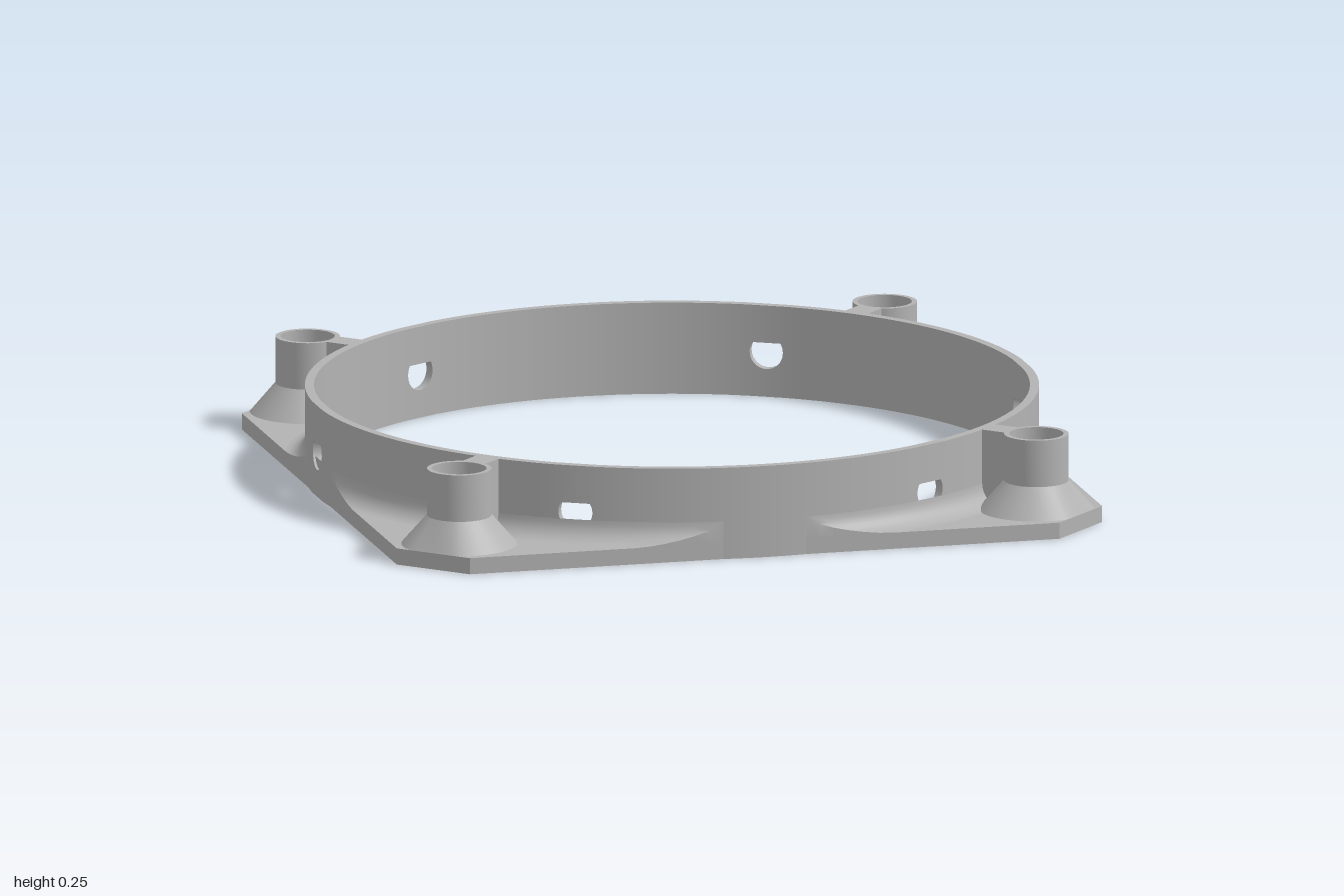
import * as THREE from 'three';
import { toCreasedNormals } from 'three/addons/utils/BufferGeometryUtils.js';

const HALF = 0.993, CUT = 0.83;            // plate half width, start of the corner chamfer
const INNER = 0.975, OUTER = 1, TOP = 0.255, PLATE = 0.045;
const POST = 0.8125;                       // post offset in x and z

// Wraps a flat strip around y: x becomes the angle, z the radius.
function bend(geo) {
  const p = geo.attributes.position, n = geo.attributes.normal;
  for (let i = 0; i < p.count; i++) {
    const a = p.getX(i), r = p.getZ(i), s = Math.sin(a), c = Math.cos(a);
    const nx = n.getX(i), nz = n.getZ(i);
    p.setXYZ(i, s * r, p.getY(i), c * r);
    n.setXYZ(i, c * nx + s * nz, n.getY(i), c * nz - s * nx);
  }
  return geo;
}

// Short wall panel with a teardrop hole
function holePanel(half) {
  const shape = new THREE.Shape();
  shape.moveTo(-half, 0).lineTo(half, 0).lineTo(half, TOP).lineTo(-half, TOP).closePath();
  const r = 0.048, cy = 0.125, drop = new THREE.Path();
  drop.moveTo(0, 0.215);
  drop.absarc(0, cy, r, Math.PI - 0.56, 2 * Math.PI + 0.56, false);
  drop.closePath();
  shape.holes.push(drop);
  const geo = new THREE.ExtrudeGeometry(shape, { depth: OUTER - INNER, bevelEnabled: false, curveSegments: 28 });
  return bend(geo.translate(0, 0, INNER));
}

// Plain curved wall between two hole panels
function wallArc(width) {
  const geo = new THREE.BoxGeometry(width, TOP, OUTER - INNER, 18, 1, 1);
  return bend(geo.translate(0, TOP / 2, (INNER + OUTER) / 2));
}

// Chamfered square plate with a round opening
function plateGeometry() {
  const h = HALF, c = CUT;
  const shape = new THREE.Shape([[c, -h], [h, -c], [h, c], [c, h], [-c, h], [-h, c], [-h, -c], [-c, -h]]
    .map(([x, y]) => new THREE.Vector2(x, y)));
  const hole = new THREE.Path();
  hole.absarc(0, 0, 0.983, 0, Math.PI * 2, true);
  shape.holes.push(hole);
  return new THREE.ExtrudeGeometry(shape, { depth: PLATE, bevelEnabled: false, curveSegments: 120 })
    .rotateX(-Math.PI / 2);
}

// Concave fillet at the foot of the wall, trimmed to the square plate
function filletGeometry() {
  const w = 0.06;
  const height = r => {
    const u = Math.min(1, Math.max(0, (OUTER + w - r) / w));
    return PLATE + w * (1 - Math.sqrt(1 - u * u));
  };
  const pts = [new THREE.Vector2(OUTER + w, PLATE - 0.005)];
  for (let i = 0; i <= 8; i++) {
    const t = (i / 8) * Math.PI / 2;
    const r = OUTER + w * (1 - Math.sin(t));
    pts.push(new THREE.Vector2(r, height(r)));
  }
  const geo = new THREE.LatheGeometry(pts, 160), p = geo.attributes.position;
  for (let i = 0; i < p.count; i++) {
    const x = p.getX(i), y = p.getY(i), z = p.getZ(i), r = Math.hypot(x, z);
    const limit = HALF * r / Math.max(Math.abs(x), Math.abs(z));
    if (r > limit) p.setXYZ(i, x * limit / r, y < PLATE - 0.001 ? y : height(limit), z * limit / r);
  }
  return toCreasedNormals(geo, 0.5);
}

// Hollow post with a flared foot, trimmed along the corner chamfer (+z here)
function postGeometry() {
  const profile = [[0.158, 0.035], [0.158, PLATE], [0.088, 0.125], [0.088, TOP], [0.074, TOP], [0.074, 0.05], [0, 0.05]];
  const geo = new THREE.LatheGeometry(profile.map(([x, y]) => new THREE.Vector2(x, y)), 48);
  const limit = (HALF + CUT - 2 * POST) / Math.SQRT2, p = geo.attributes.position;
  for (let i = 0; i < p.count; i++) p.setZ(i, Math.min(p.getZ(i), limit));
  return toCreasedNormals(geo, 0.5);
}

export function createModel() {
  const model = new THREE.Group();
  model.name = 'ringMount';
  const grey = new THREE.MeshStandardMaterial({ color: 0xb3b3b3 });
  grey.name = 'grey';
  const add = (geo, name, parent = model) => {
    const mesh = new THREE.Mesh(geo, grey);
    mesh.name = name;
    parent.add(mesh);
    return mesh;
  };

  add(plateGeometry(), 'basePlate');
  add(filletGeometry(), 'ringFillet');

  // Ring wall: six teardrop panels joined by six plain arcs
  const ring = new THREE.Group();
  ring.name = 'ringWall';
  model.add(ring);
  const half = 0.06, panel = holePanel(half), arc = wallArc(Math.PI / 3 - 2 * half);
  for (let i = 0; i < 6; i++) {
    add(panel, 'teardropPanel', ring).rotation.y = Math.PI / 6 + i * Math.PI / 3;
    add(arc, 'wallArc', ring).rotation.y = i * Math.PI / 3;
  }

  // Four corner posts, each tied to the ring by a rib
  const post = postGeometry(), dist = POST * Math.SQRT2;
  const rib = new THREE.BoxGeometry(0.072, TOP - 0.02, 0.085).translate(0, (TOP + 0.02) / 2, 1.0275);
  for (let i = 0; i < 4; i++) {
    const corner = new THREE.Group();
    corner.name = 'cornerPost';
    corner.rotation.y = Math.PI / 4 + i * Math.PI / 2;
    add(post, 'post', corner).position.z = dist;
    add(rib, 'rib', corner);
    model.add(corner);
  }
  return model;
}
